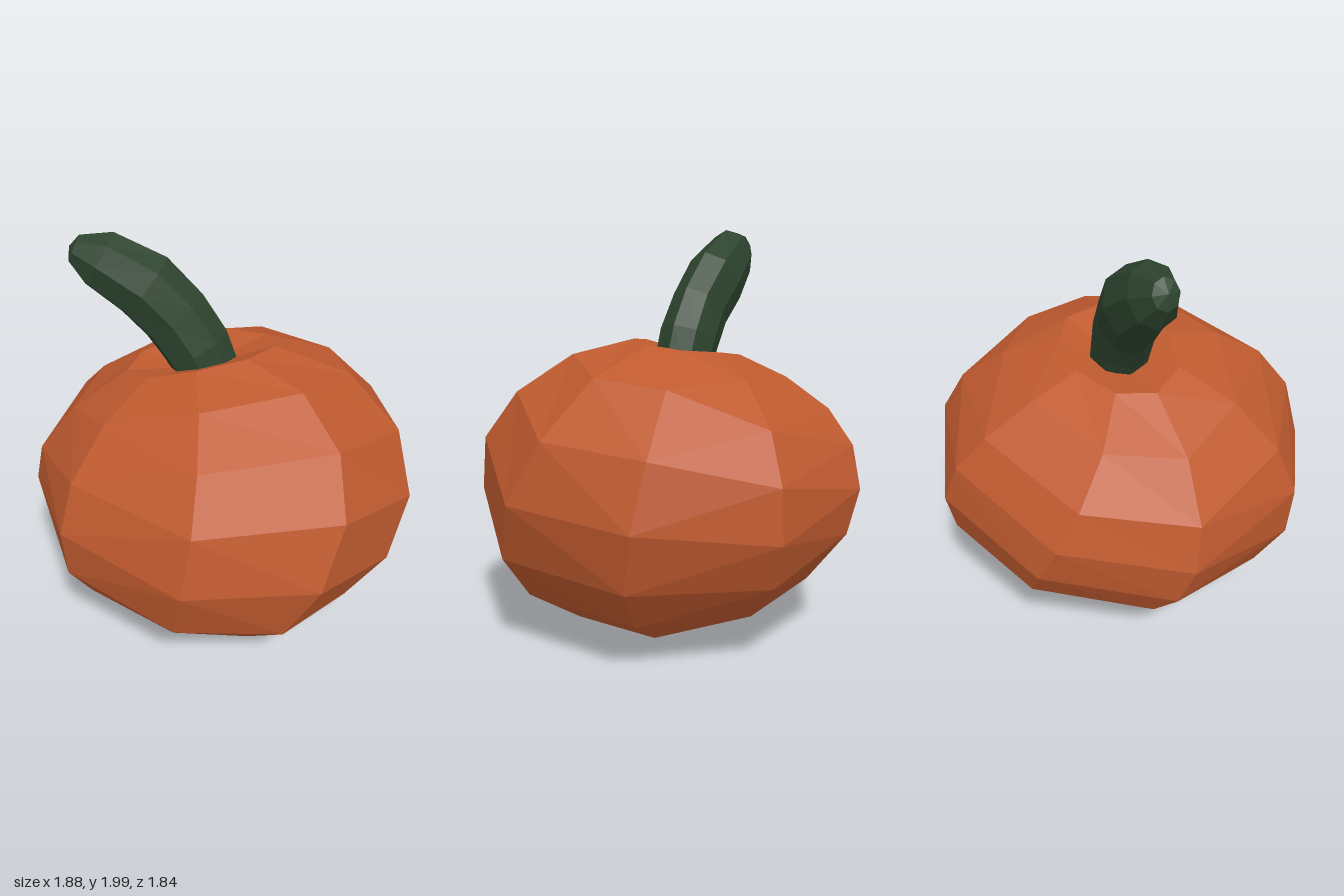
import * as THREE from 'three';

const orange = new THREE.MeshStandardMaterial({ color: 0xbf5a2f, flatShading: true });
orange.name = 'pumpkin orange';
const green = new THREE.MeshStandardMaterial({ color: 0x2c432d, flatShading: true });
green.name = 'stem green';

// Skins a stack of rings, listed from the top end down, and closes both ends to a point
function loft(rings, top, bottom) {
  const n = rings[0].length;
  const points = [...rings.flat(), top, bottom];
  const t = points.length - 2, b = points.length - 1, last = (rings.length - 1) * n;
  const index = [];
  for (let i = 0; i < n; i++) {
    const j = (i + 1) % n;
    index.push(t, i, j, b, last + j, last + i);
    for (let k = 0; k < last; k += n) {
      index.push(k + i, k + n + i, k + n + j, k + i, k + n + j, k + j);
    }
  }
  const geometry = new THREE.BufferGeometry().setFromPoints(points);
  geometry.setIndex(index);
  geometry.computeVertexNormals();
  return geometry;
}

// Nine-sided squashed ball, taller at the front and twisted about the z axis
function pumpkinBody() {
  const half = [[0.304, 0.875, -0.075], [0.593, 0.72, -0.037], [0.83, 0.46, 0], [0.949, 0.163, 0.03]];
  const profile = [...half, ...half.map(([r, h, z]) => [r, -h, z]).reverse()];
  const deform = (x, h, z) => {
    const y = h * (1 + 0.27 * z), a = 0.43 * z;
    return new THREE.Vector3(
      x * Math.cos(a) + y * Math.sin(a),
      0.735 + 0.78 * (y * Math.cos(a) - x * Math.sin(a)),
      z);
  };
  const rings = profile.map(([r, h, zc]) => Array.from({ length: 9 }, (_, k) => {
    const a = (k + 0.5) * Math.PI * 2 / 9;
    return deform(r * Math.sin(a), h, zc + r * Math.cos(a));
  }));
  // the top is dented around the stem, the underside is flat
  return loft(rings, deform(0, 0.77, -0.075), deform(0, -0.875, -0.075));
}

// Eight-sided oval stem leaning back and to the right, from tip to root
function stemShape() {
  const sections = [ // x, y, z, half width, half depth
    [-0.385, 1.925, -0.515, 0.06, 0.07],
    [-0.31, 1.875, -0.435, 0.115, 0.145],
    [-0.18, 1.745, -0.285, 0.145, 0.175],
    [-0.105, 1.6, -0.17, 0.138, 0.172],
    [-0.05, 1.45, -0.09, 0.146, 0.168],
    [0, 1.25, -0.02, 0.14, 0.15],
  ];
  const centres = sections.map(([x, y, z]) => new THREE.Vector3(x, y, z));
  const side = new THREE.Vector3(0.78, 0, -0.62).normalize();
  const rings = sections.map(([, , , w, d], s) => {
    const along = centres[Math.max(s - 1, 0)].clone()
      .sub(centres[Math.min(s + 1, centres.length - 1)]).normalize();
    const across = along.cross(side).normalize();
    return Array.from({ length: 8 }, (_, k) => {
      const a = k * Math.PI / 4;
      return centres[s].clone()
        .addScaledVector(side, w * Math.cos(a))
        .addScaledVector(across, d * Math.sin(a));
    });
  });
  return loft(rings, new THREE.Vector3(-0.4, 1.935, -0.53), centres[centres.length - 1]);
}

export function createModel() {
  const model = new THREE.Group();
  model.name = 'pumpkin';
  const body = new THREE.Mesh(pumpkinBody(), orange);
  body.name = 'pumpkinBody';
  const stem = new THREE.Mesh(stemShape(), green);
  stem.name = 'stem';
  model.add(body, stem);
  return model;
}
